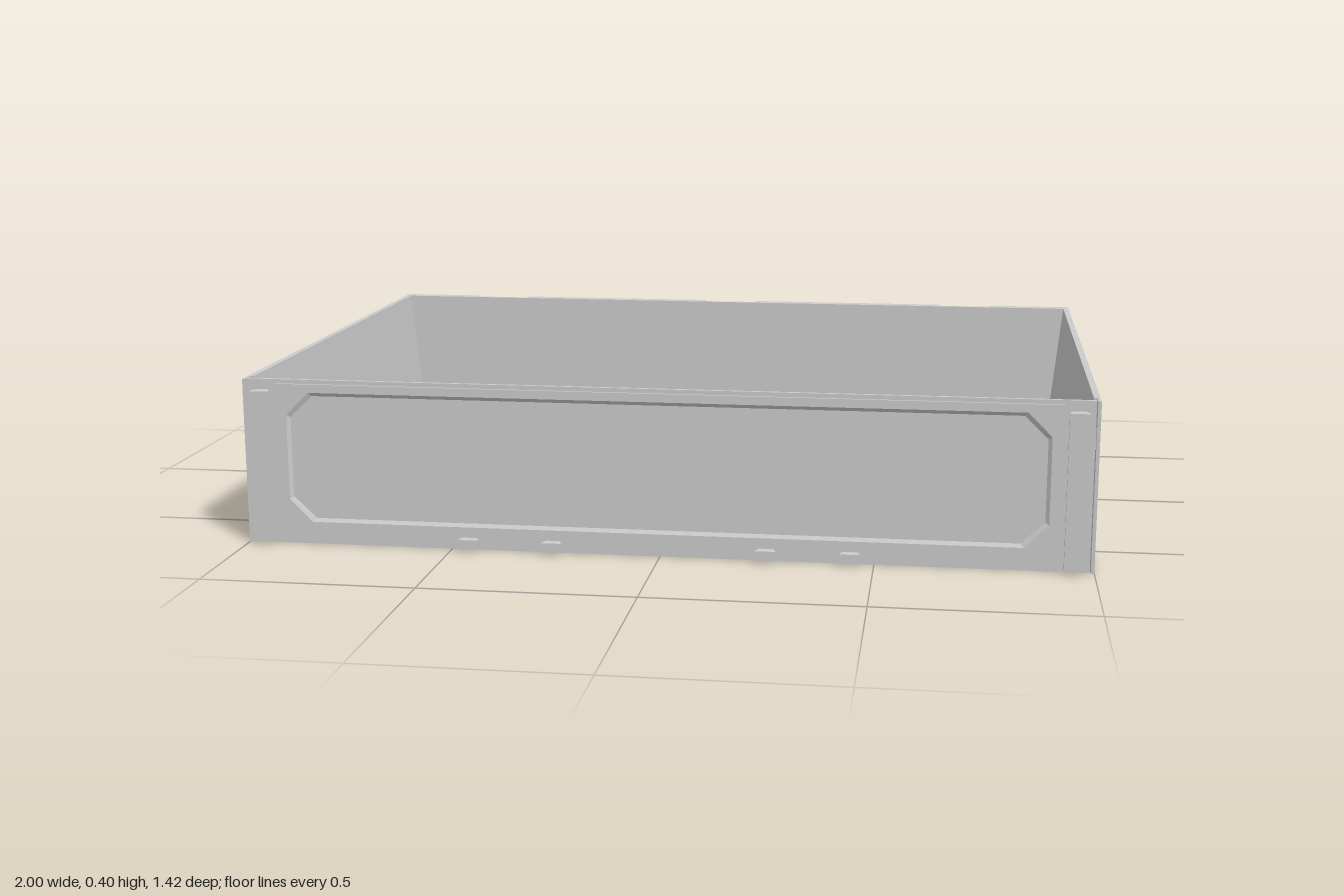
import * as THREE from 'three';
import { mergeGeometries } from 'three/addons/utils/BufferGeometryUtils.js';

const mat = new THREE.MeshStandardMaterial({ color: 0xcccccc, flatShading: true });
const V = (x, y) => new THREE.Vector2(x, y);

function add(parent, geo, name, x = 0, y = 0, z = 0) {
  const m = new THREE.Mesh(geo, mat);
  m.name = name;
  m.position.set(x, y, z);
  parent.add(m);
  return m;
}

function box(parent, name, x0, x1, y0, y1, z0, z1) {
  const geo = new THREE.BoxGeometry(x1 - x0, y1 - y0, z1 - z0);
  return add(parent, geo, name, (x0 + x1) / 2, (y0 + y1) / 2, (z0 + z1) / 2);
}

// Outlines, all counter-clockwise
const rect = (x0, x1, y0, y1) => [V(x0, y0), V(x1, y0), V(x1, y1), V(x0, y1)];

const octagon = (x0, x1, y0, y1, c) => [
  V(x0 + c, y0), V(x1 - c, y0), V(x1, y0 + c), V(x1, y1 - c),
  V(x1 - c, y1), V(x0 + c, y1), V(x0, y1 - c), V(x0, y0 + c)];

function roundRect(cx, cy, hw, hh, r) {
  const pts = [];
  for (let q = 0; q < 4; q++) {
    const sx = q === 0 || q === 3 ? 1 : -1, sy = q < 2 ? 1 : -1;
    for (let i = 0; i <= 4; i++) {
      const a = (q + i / 4) * Math.PI / 2;
      pts.push(V(cx + sx * (hw - r) + r * Math.cos(a), cy + sy * (hh - r) + r * Math.sin(a)));
    }
  }
  return pts;
}

function circle(cx, cy, r, n = 16) {
  return Array.from({ length: n }, (_, i) => {
    const a = i / n * Math.PI * 2;
    return V(cx + r * Math.cos(a), cy + r * Math.sin(a));
  });
}

// Square opening with a rounded magnet lobe left standing in each corner
function crossOpening(cx, cy) {
  const pts = [], h = 0.147, c = 0.105, r = 0.052;
  for (let q = 0; q < 4; q++) {
    const local = [V(h, c - r - 0.012), V(h - 0.012, c - r)];
    for (let i = 0; i <= 6; i++) {
      const a = -Math.PI / 2 - i / 6 * Math.PI / 2;
      local.push(V(c + r * Math.cos(a), c + r * Math.sin(a)));
    }
    local.push(V(c - r, h - 0.012), V(c - r - 0.012, h));
    local.forEach(p => pts.push(p.rotateAround(V(0, 0), q * Math.PI / 2).add(V(cx, cy))));
  }
  return pts;
}

function plate(outline, holes, depth) {
  const s = new THREE.Shape(outline);
  holes.forEach(h => s.holes.push(new THREE.Path(h)));
  return new THREE.ExtrudeGeometry(s, { depth, bevelEnabled: false });
}

// Sloping sides from an outline at z = 0 down to a smaller one at z = -depth
function slopedRing(pts, inset, depth) {
  const b = new THREE.Box2().setFromPoints(pts);
  const c = b.getCenter(V(0, 0)), s = b.getSize(V(0, 0));
  const inner = pts.map(p => V(
    c.x + (p.x - c.x) * (1 - 2 * inset / s.x),
    c.y + (p.y - c.y) * (1 - 2 * inset / s.y)));
  const pos = [];
  pts.forEach((p, i) => {
    const j = (i + 1) % pts.length;
    const A = [p.x, p.y, 0], B = [pts[j].x, pts[j].y, 0];
    const C = [inner[j].x, inner[j].y, -depth], D = [inner[i].x, inner[i].y, -depth];
    pos.push(...A, ...B, ...C, ...A, ...C, ...D);
  });
  const g = new THREE.BufferGeometry();
  g.setAttribute('position', new THREE.Float32BufferAttribute(pos, 3));
  g.computeVertexNormals();
  return g;
}

// Wall facing local +z: skin with chamfered recesses
function wall(name, outline, recesses, inset, depth, cuts = []) {
  const g = new THREE.Group();
  g.name = name;
  add(g, plate(outline, [...recesses, ...cuts], depth), name + 'Skin', 0, 0, -depth);
  recesses.forEach(r => add(g, slopedRing(r, inset, depth), name + 'RecessEdge'));
  return g;
}

function baseGrid() {
  const g = new THREE.Group();
  g.name = 'baseGrid';
  const crosses = [], pockets = [], magnets = [];
  for (let i = 0; i < 5; i++) for (let j = 0; j < 4; j++) {
    const cx = -0.755 + i * 0.335, cy = 0.51 - j * 0.335;
    crosses.push(crossOpening(cx, cy));
    pockets.push(roundRect(cx, cy, 0.16, 0.16, 0.025));
    for (const sx of [-1, 1]) for (const sy of [-1, 1]) magnets.push(V(cx + sx * 0.105, cy + sy * 0.105));
  }
  pockets.push(roundRect(0.8325, 0.0075, 0.0775, 0.6575, 0.02));
  const flat = geo => geo.rotateX(-Math.PI / 2);
  const outer = rect(-0.96, 0.96, -0.67, 0.68);
  add(g, flat(plate(rect(-0.99, 0.99, -0.675, 0.69), crosses, 0.012)), 'bottomPlate');
  add(g, flat(plate(outer, [...crosses, ...magnets.map(m => circle(m.x, m.y, 0.03))], 0.013)), 'magnetLayer', 0, 0.012);
  add(g, flat(plate(outer, pockets, 0.03)), 'gridRidges', 0, 0.025);
  add(g, flat(mergeGeometries(pockets.map(p => slopedRing(p, 0.013, 0.03)))), 'pocketSlopes', 0, 0.055);
  const studs = magnets.map(m => new THREE.CylinderGeometry(0.013, 0.013, 0.01, 12).translate(m.x, 0.016, -m.y));
  add(g, mergeGeometries(studs), 'magnetStuds');
  // Small clips along the narrow side bin
  for (const z of [-0.345, -0.01, 0.325]) {
    box(g, 'binClip', 0.757, 0.782, 0.025, 0.055, z - 0.018, z + 0.018);
    box(g, 'binClip', 0.888, 0.908, 0.025, 0.055, z - 0.018, z + 0.018);
  }
  return g;
}

export function createModel() {
  const model = new THREE.Group();
  model.name = 'gridTray';
  model.add(baseGrid());

  // Front wall with a raised frame around a chamfered panel
  const front = wall('frontWall', rect(-0.92, 0.92, 0.03, 0.39),
    [octagon(-0.895, 0.895, 0.055, 0.37, 0.055)], 0.01, 0.007);
  front.position.z = 0.687;
  model.add(front);
  box(model, 'frontBacking', -0.99, 0.99, 0, 0.4, 0.672, 0.681);

  // Dovetail rails and feet on the front
  const dovetail = h => plate([V(-0.013, 0), V(0.013, 0), V(0.023, 0.02), V(0.023, 0.03), V(-0.023, 0.03), V(-0.023, 0.02)], [], h)
    .rotateX(-Math.PI / 2).scale(1, 1, -1);
  for (const [x, y, h] of [[-0.953, 0.01, 0.365], [0.953, 0.01, 0.365],
    [-0.455, 0.008, 0.022], [-0.255, 0.008, 0.022], [0.25, 0.008, 0.022], [0.445, 0.008, 0.022]]) {
    const geo = dovetail(h);
    // restore outward winding after the flip
    const p = geo.attributes.position;
    for (let i = 0; i < p.count; i += 3) {
      const a = new THREE.Vector3().fromBufferAttribute(p, i);
      const b = new THREE.Vector3().fromBufferAttribute(p, i + 1);
      p.setXYZ(i, b.x, b.y, b.z);
      p.setXYZ(i + 1, a.x, a.y, a.z);
    }
    geo.computeVertexNormals();
    add(model, geo, h > 0.1 ? 'dovetailRail' : 'frontFoot', x, y, 0.68);
  }

  // Back wall: notched top edge, deep recesses and sockets
  const outline = [V(-1, 0), V(1, 0), V(1, 0.4)];
  const recesses = [];
  for (const x of [0.7, 0, -0.7]) {
    outline.push(V(x + 0.078, 0.4), V(x + 0.078, 0.37), V(x + 0.06, 0.35), V(x + 0.06, 0.21),
      V(x - 0.06, 0.21), V(x - 0.06, 0.35), V(x - 0.078, 0.37), V(x - 0.078, 0.4));
    recesses.push(octagon(x - 0.06, x + 0.06, 0.04, 0.18, 0.025));
  }
  outline.push(V(-1, 0.4));
  for (const s of [-1, 1]) {
    recesses.push(octagon(s * 0.35 - 0.255, s * 0.35 + 0.255, 0.04, 0.365, 0.04));
    recesses.push(octagon(s * 0.885 - 0.08, s * 0.885 + 0.08, 0.04, 0.365, 0.04));
  }
  const back = wall('backWall', outline, recesses, 0.016, 0.022);
  back.rotation.y = Math.PI;
  back.position.z = -0.71;
  model.add(back);
  box(model, 'backBacking', -0.99, 0.99, 0, 0.4, -0.69, -0.677);

  // Side walls: slanted panel, latch slot near the front, inner face leaning outward
  for (const s of [1, -1]) {
    const name = s > 0 ? 'leftWall' : 'rightWall';
    const mirror = pts => s > 0 ? pts.map(p => V(-p.x, p.y)).reverse() : pts;
    const panel = [V(0.418, 0.035), V(0.625, 0.24), V(0.625, 0.285), V(0.56, 0.352),
      V(-0.68, 0.352), V(-0.68, 0.1), V(-0.617, 0.035)].reverse();
    const ccw = pts => THREE.ShapeUtils.area(pts) < 0 ? pts.slice().reverse() : pts;
    const side = wall(name, ccw(mirror(rect(-0.7, 0.687, 0, 0.4))), [ccw(mirror(panel))], 0.01, 0.008,
      [ccw(mirror(rect(0.648, 0.672, 0.285, 0.335)))]);
    side.rotation.y = s * Math.PI / 2;
    side.position.x = s;
    model.add(side);
    const section = ccw([V(s * 0.992, 0), V(s * 0.992, 0.4), V(s * 0.985, 0.4), V(s * 0.947, 0.03), V(s * 0.947, 0)]);
    add(model, plate(section, [], 1.338), name + 'Core', 0, 0, -0.69);
  }
  return model;
}
